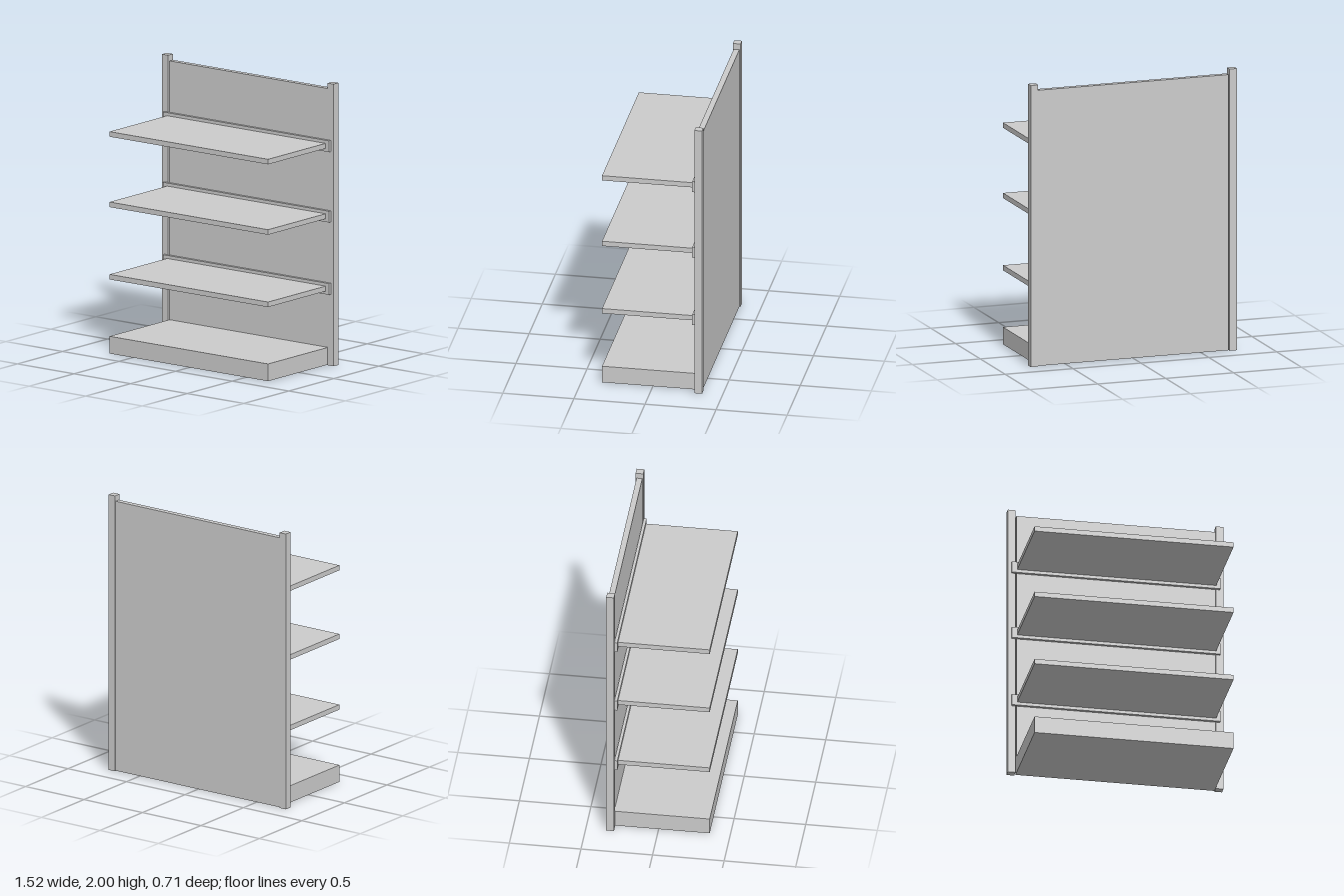
import * as THREE from 'three';

export function createModel() {
  const group = new THREE.Group();
  const material = new THREE.MeshStandardMaterial({ color: 0xcccccc });

  // Box given by its extents along each axis
  function addBox(name, [x0, x1], [y0, y1], [z0, z1]) {
    const mesh = new THREE.Mesh(new THREE.BoxGeometry(x1 - x0, y1 - y0, z1 - z0), material);
    mesh.position.set((x0 + x1) / 2, (y0 + y1) / 2, (z0 + z1) / 2);
    mesh.name = name;
    group.add(mesh);
  }

  const width = [-0.698, 0.703];
  const front = 0.357;

  // Uprights and back panel
  addBox('rightPost', [-0.76, -0.706], [0, 2], [-0.357, -0.303]);
  addBox('leftPost', [0.704, 0.758], [0, 2], [-0.357, -0.303]);
  addBox('backPanel', width, [0.003, 1.96], [-0.35, -0.31]);

  // Plinth at the bottom
  addBox('base', width, [0.003, 0.125], [-0.31, front]);

  // Three shelves, each on a rail fixed across the posts
  [0.546, 1.059, 1.558].forEach((y, i) => {
    addBox(`shelfRail${i + 1}`, [-0.735, 0.733], [y - 0.04, y + 0.04], [-0.304, -0.283]);
    addBox(`shelf${i + 1}`, width, [y - 0.018, y + 0.018], [-0.283, front]);
  });

  return group;
}
